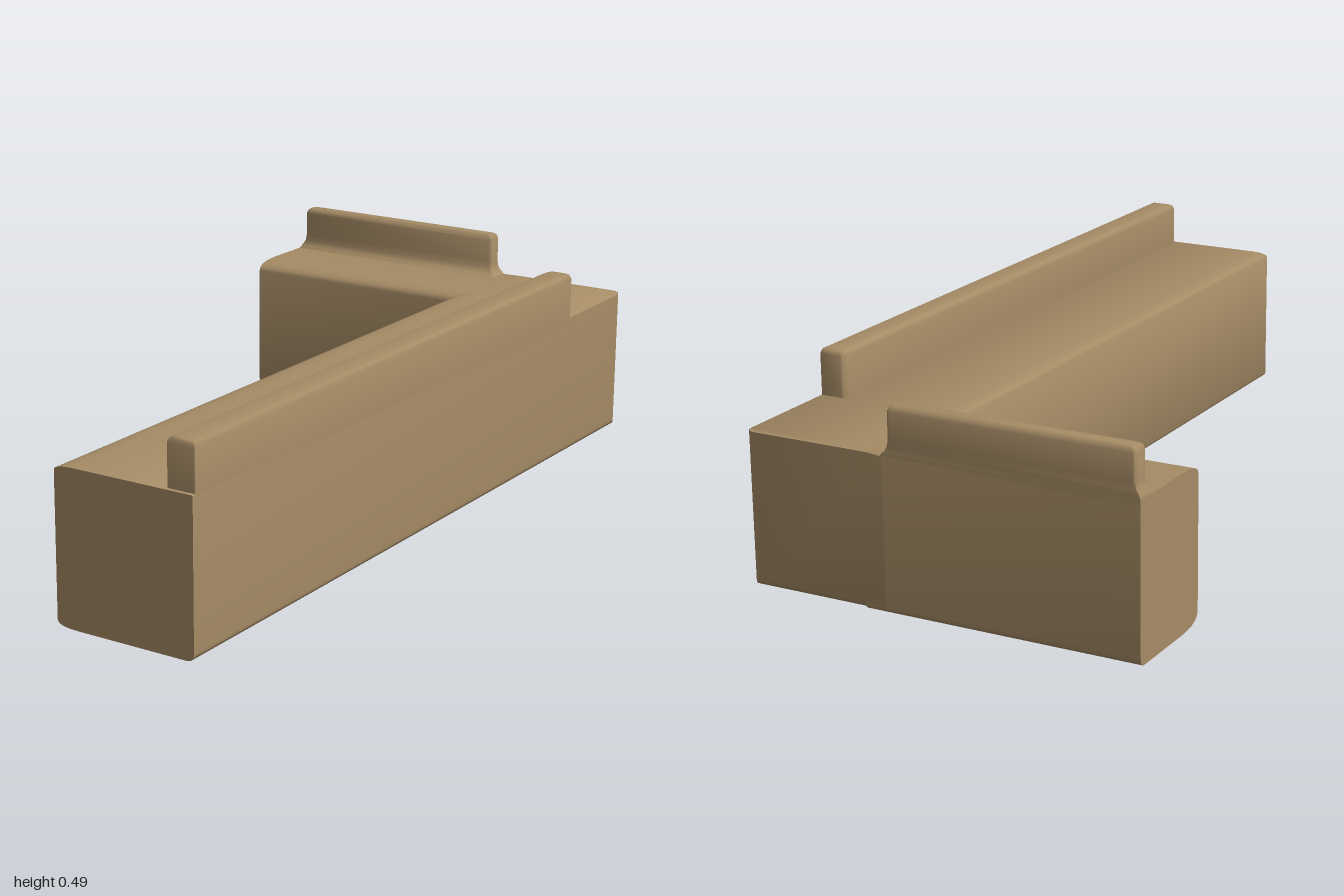
import * as THREE from 'three';
import { toCreasedNormals } from 'three/addons/utils/BufferGeometryUtils.js';

const material = new THREE.MeshStandardMaterial({ color: 0xa68c66 });

// Polygon whose corners [x, y, roundX, roundY] are softened by a curve
function softShape(corners) {
  const shape = new THREE.Shape();
  const n = corners.length;
  const toward = (a, b) => {
    const dx = b[0] - a[0], dy = b[1] - a[1];
    return [
      a[0] + Math.sign(dx) * Math.min(Math.abs(dx), a[2]),
      a[1] + Math.sign(dy) * Math.min(Math.abs(dy), a[3]),
    ];
  };
  corners.forEach((c, i) => {
    const start = toward(c, corners[(i + n - 1) % n]);
    const end = toward(c, corners[(i + 1) % n]);
    if (i === 0) shape.moveTo(...start);
    else shape.lineTo(...start);
    shape.quadraticCurveTo(c[0], c[1], ...end);
  });
  return shape;
}

// Extrude a shape through the given levels; rule(x, y, level index) reshapes each slice
function sliced(shape, levels, rule) {
  const steps = levels.length - 1;
  const g = new THREE.ExtrudeGeometry(shape, { depth: steps, steps, bevelEnabled: false, curveSegments: 5 });
  const p = g.attributes.position;
  for (let i = 0; i < p.count; i++) {
    const k = Math.round(p.getZ(i));
    const [x, y] = rule ? rule(p.getX(i), p.getY(i), k) : [p.getX(i), p.getY(i)];
    p.setXYZ(i, x, y, levels[k]);
  }
  return g;
}

function part(name, geometry) {
  const mesh = new THREE.Mesh(toCreasedNormals(geometry, 0.8), material);
  mesh.name = name;
  return mesh;
}

// Upright rail: footprint in (x, -z), grown or shrunk per level around its centre
function rail(name, corners, levels, growth) {
  const xs = corners.map((c) => c[0]), ys = corners.map((c) => c[1]);
  const cx = (Math.min(...xs) + Math.max(...xs)) / 2;
  const cy = (Math.min(...ys) + Math.max(...ys)) / 2;
  const g = sliced(softShape(corners), levels, (x, y, k) => [
    THREE.MathUtils.clamp(x + Math.sign(x - cx) * growth[k], -0.5, 0.5),
    Math.min(y + Math.sign(y - cy) * growth[k], 1),
  ]);
  return part(name, g.rotateX(-Math.PI / 2));
}

export function createModel() {
  const group = new THREE.Group();
  group.name = 'cornerBench';

  // Long arm along z, rounded over at its back end
  const longProfile = softShape([
    [0.135, 0, 0.055, 0.016],
    [0.5, 0, 0.02, 0.02],
    [0.5, 0.373, 0.004, 0.004],
    [0.135, 0.373, 0.055, 0.012],
  ]);
  const inset = [0.022, 0.012, 0.004, 0, 0];
  group.add(part('longArm', sliced(longProfile, [-1, -0.995, -0.987, -0.975, 1],
    (x, y, k) => [Math.min(x, 0.5 - inset[k]), Math.max(y, inset[k] * 0.8)])));

  // Short arm along x, profile in (-z, y)
  const shortProfile = softShape([
    [0.73, 0, 0.08, 0.03],
    [1, 0, 0.018, 0.018],
    [1, 0.373, 0.004, 0.004],
    [0.73, 0.373, 0.08, 0.025],
  ]);
  group.add(part('shortArm', sliced(shortProfile, [-0.5, 0.19]).rotateY(Math.PI / 2)));

  // Back rail with a flared foot and soft top
  const r = 0.008;
  group.add(rail('backRail',
    [[-0.49, 0.955, r, r], [0.12, 0.955, r, r], [0.12, 1, r, r], [-0.49, 1, r, r]],
    [0.36, 0.373, 0.382, 0.394, 0.41, 0.474, 0.484, 0.488],
    [0.018, 0.018, 0.008, 0.002, 0, 0, -0.004, -0.011]));

  // Side rail, flush with the outer face and narrowed at its back end
  group.add(rail('sideRail',
    [[0.428, -0.99, 0.002, 0.002], [0.5, -0.99, 0.002, 0.002], [0.5, 0.7, 0.006, 0.01], [0.428, 0.7, 0.014, 0.035]],
    [0.36, 0.474, 0.484, 0.488],
    [0, 0, -0.004, -0.012]));

  return group;
}
